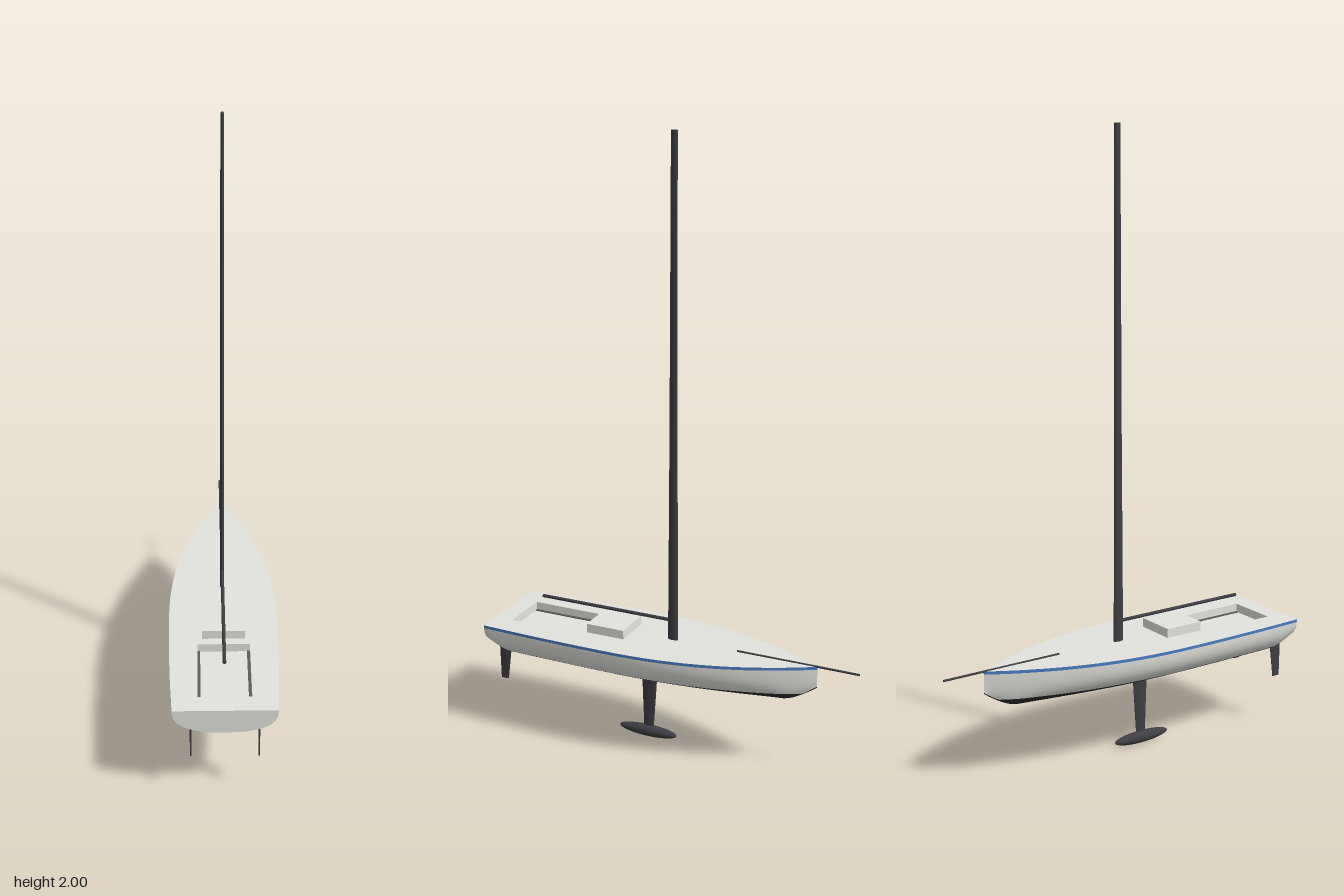
import * as THREE from 'three';

const mat = (name, color, side = THREE.FrontSide) => {
  const m = new THREE.MeshStandardMaterial({ color, side });
  m.name = name;
  return m;
};

// Hull lines: the bow points to -z, the stern to +z
const BOW = -0.49, STERN = 0.628, WATERLINE = 0.275;
const sheer = z => 0.37 - 0.005 * z;
const halfWidth = z => z < 0.17
  ? 0.174 * (1 - Math.pow((0.17 - z) / (0.17 - BOW), 2.2))
  : 0.174 - 0.014 * ((z - 0.17) / 0.46) ** 2;
const keelLine = z => 0.247
  + 0.053 * Math.pow(Math.max(0, (-0.39 - z) / 0.1), 1.4)
  + 0.035 * Math.pow(Math.max(0, (z - 0.56) / 0.068), 1.4);

// One half section, from the sheer down to the keel
const TOP_ROWS = 7, BOTTOM_ROWS = 9;
function halfSection(z) {
  const top = sheer(z), keel = keelLine(z), wl = Math.max(WATERLINE, keel + 0.004);
  const ys = [top];
  for (let k = 0; k <= TOP_ROWS; k++) ys.push(top - 0.01 + (wl - top + 0.01) * k / TOP_ROWS);
  for (let k = 1; k <= BOTTOM_ROWS; k++) ys.push(keel + (wl - keel) * Math.pow(1 - k / BOTTOM_ROWS, 2.4));
  return ys.map(y => {
    const d = Math.min(1, (top - y) / (top - keel));
    return [halfWidth(z) * Math.pow(1 - Math.pow(d, 2.6), 1 / 2.6), y];
  });
}
function fullSection(z) {
  const half = halfSection(z);
  return half.concat(half.slice(0, -1).reverse().map(([x, y]) => [-x, y]));
}

const STATIONS = 60;
const stationZ = i => {
  const t = i / STATIONS;
  return BOW + (STERN - BOW) * (t - 0.1 * Math.sin(2 * Math.PI * t));
};

function hullGeometry() {
  const pos = [], index = [], geo = new THREE.BufferGeometry();
  const rows = fullSection(0).length, cols = STATIONS + 1;
  for (let i = 0; i < cols; i++) {
    const z = stationZ(i);
    fullSection(z).forEach(([x, y]) => pos.push(x, y, z));
  }
  for (let j = 0; j < rows - 1; j++) {
    // material by band: 0 stripe, 1 topsides, 2 bottom
    const k = Math.min(j, rows - 2 - j);
    geo.addGroup(index.length, STATIONS * 6, k === 0 ? 0 : k <= TOP_ROWS ? 1 : 2);
    for (let i = 0; i < STATIONS; i++) {
      const a = i * rows + j, b = a + rows;
      index.push(a, b, a + 1, b, b + 1, a + 1);
    }
  }
  geo.setAttribute('position', new THREE.Float32BufferAttribute(pos, 3));
  geo.setIndex(index);
  geo.computeVertexNormals();
  return geo;
}

// Deck plan with the cockpit cut out, following the sheer
const COCKPIT = { x: 0.083, z0: 0.315, z1: 0.565, floor: 0.338 };
function deckGeometry() {
  const right = [], left = [];
  for (let i = 0; i <= STATIONS; i++) {
    const z = stationZ(i);
    right.push(new THREE.Vector2(halfWidth(z), -z));
    if (i > 0) left.unshift(new THREE.Vector2(-halfWidth(z), -z));
  }
  const shape = new THREE.Shape(right.concat(left));
  const { x, z0, z1 } = COCKPIT;
  shape.holes.push(new THREE.Path([[-x, -z0], [x, -z0], [x, -z1], [-x, -z1]].map(p => new THREE.Vector2(...p))));
  const geo = new THREE.ShapeGeometry(shape).rotateX(-Math.PI / 2);
  const p = geo.attributes.position;
  for (let i = 0; i < p.count; i++) p.setY(i, sheer(p.getZ(i)));
  geo.computeVertexNormals();
  return geo;
}

// Tapered oval blade between two heights; each end is [y, zMin, zMax, thickness]
function blade(low, high) {
  const geo = new THREE.CylinderGeometry(1, 1, 1, 16, 1);
  const p = geo.attributes.position;
  for (let i = 0; i < p.count; i++) {
    const [y, z0, z1, t] = p.getY(i) > 0 ? high : low;
    p.setXYZ(i, p.getX(i) * t / 2, y, (z0 + z1) / 2 + p.getZ(i) * (z1 - z0) / 2);
  }
  geo.computeVertexNormals();
  return geo;
}

export function createModel() {
  const white = mat('white gelcoat', 0xe2e2de, THREE.DoubleSide);
  const black = mat('black antifouling', 0x2b2b2e);
  const carbon = mat('dark carbon', 0x3e3e44);
  const blue = mat('blue stripe', 0x4a7fc4);
  const trim = mat('grey trim', 0x5a5c5e);

  const model = new THREE.Group();
  const add = (name, geo, material, x = 0, y = 0, z = 0) => {
    const mesh = new THREE.Mesh(geo, material);
    mesh.name = name;
    mesh.position.set(x, y, z);
    model.add(mesh);
    return mesh;
  };
  const box = (name, w, h, d, material, x, y, z) =>
    add(name, new THREE.BoxGeometry(w, h, d), material, x, y, z);

  // Hull, transom and deck
  add('hull', hullGeometry(), [blue, white, black]);
  const transom = new THREE.Shape(fullSection(STERN).map(p => new THREE.Vector2(...p)));
  add('transom', new THREE.ShapeGeometry(transom), white, 0, 0, STERN);
  add('deck', deckGeometry(), white);

  // Cockpit well
  const { x: cx, z0, z1, floor } = COCKPIT;
  const wallH = 0.367 - floor, wallY = floor + wallH / 2, midZ = (z0 + z1) / 2, len = z1 - z0;
  box('cockpitFloor', cx * 2, 0.004, len, white, 0, floor - 0.002, midZ);
  for (const z of [z0 - 0.002, z1 + 0.002]) box('cockpitEndWall', cx * 2, wallH, 0.004, white, 0, wallY, z);
  for (const s of [1, -1]) {
    box('cockpitSideWall', 0.004, wallH, len, white, s * (cx + 0.002), wallY, midZ);
    box('cockpitTrim', 0.009, 0.003, len, trim, s * (cx - 0.0045), floor + 0.0015, midZ);
  }

  // Companionway hatch
  box('hatch', 0.136, 0.034, 0.134, white, 0, 0.382, 0.222);

  // Rig
  add('lowerMast', blade([0.365, -0.01, 0.026, 0.014], [1.05, -0.008, 0.02, 0.012]), carbon);
  add('upperMast', blade([1.05, -0.008, 0.02, 0.012], [2, -0.008, 0.014, 0.01]), carbon);
  const boom = new THREE.CylinderGeometry(0.0055, 0.0055, 0.475, 12).rotateX(Math.PI / 2);
  add('boom', boom, carbon, 0, 0.437, 0.2525);
  const sprit = new THREE.CylinderGeometry(0.0035, 0.0035, 0.41, 10).rotateX(Math.PI / 2);
  add('bowsprit', sprit, carbon, 0, 0.3725, -0.423);

  // Keel fin with its ballast bulb
  add('keelFin', blade([0.02, 0.08, 0.114, 0.007], [0.26, 0.063, 0.122, 0.009]), carbon);
  add('keelBulb', new THREE.SphereGeometry(1, 24, 16).scale(0.0195, 0.0195, 0.105), carbon, 0, 0.0195, 0.1);

  // Twin rudders
  for (const s of [1, -1]) {
    add(s > 0 ? 'leftRudder' : 'rightRudder',
      blade([0.16, 0.572, 0.6, 0.005], [0.275, 0.557, 0.602, 0.006]), carbon, s * 0.105);
  }
  return model;
}
